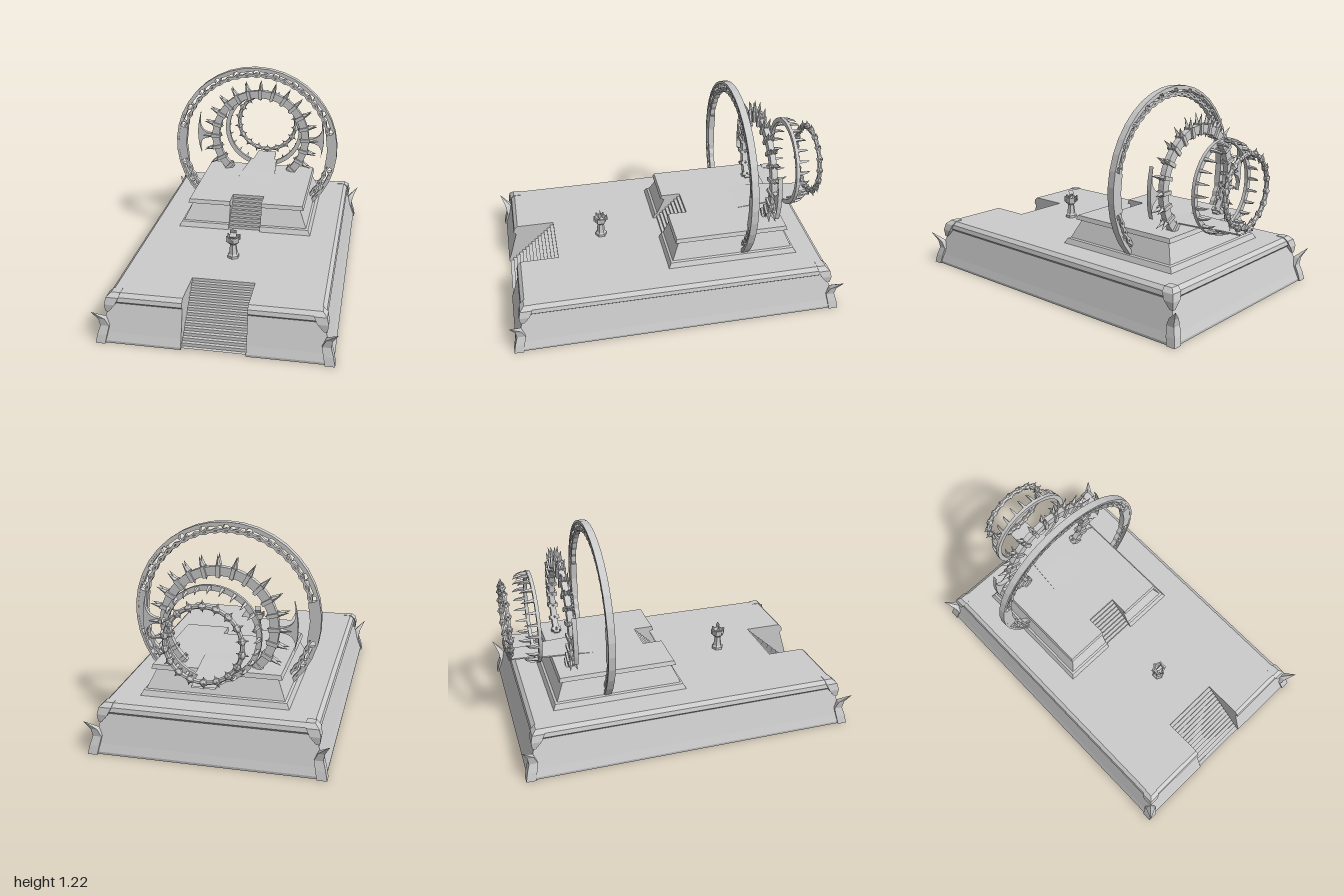
import * as THREE from 'three';
import { ConvexGeometry } from 'three/addons/geometries/ConvexGeometry.js';

const mat = new THREE.MeshStandardMaterial({ color: 0xcccccc, flatShading: true, side: THREE.DoubleSide });
const rad = THREE.MathUtils.degToRad;

function add(parent, name, geo, x = 0, y = 0, z = 0) {
  const m = new THREE.Mesh(geo, mat);
  m.name = name;
  m.position.set(x, y, z);
  parent.add(m);
  return m;
}

function group(parent, name, x = 0, y = 0, z = 0) {
  const g = new THREE.Group();
  g.name = name;
  g.position.set(x, y, z);
  parent.add(g);
  return g;
}

// Flat-faced sheet joining successive rows of [x, y, z] points
function loft(rows) {
  const pos = [];
  for (let j = 0; j + 1 < rows.length; j++)
    for (let i = 0; i + 1 < rows[j].length; i++) {
      const [a, b, c, d] = [rows[j][i], rows[j][i + 1], rows[j + 1][i + 1], rows[j + 1][i]];
      pos.push(...a, ...b, ...c, ...a, ...c, ...d);
    }
  const g = new THREE.BufferGeometry();
  g.setAttribute('position', new THREE.Float32BufferAttribute(pos, 3));
  g.computeVertexNormals();
  return g;
}

// Hollow rectangular platform with a stair notch; profile is [y, half width]
function platform(parent, name, { profile, deep, zc, s, zIn, yLow, steps, hole }) {
  const g = group(parent, name);
  const plan = (o) => {
    const f = zc + o + deep, b = zc - o - deep;
    return [[s, zIn], [s, f], [o, f], [o, b], [-o, b], [-o, f], [-s, f], [-s, zIn]];
  };
  add(g, 'walls', loft(profile.map(([y, o]) => plan(o).map(([x, z]) => [x, y, z]))));
  // Deck, open below anything hollow standing on it
  const [yTop, oTop] = profile[profile.length - 1];
  const deck = new THREE.Shape(plan(oTop).map(([x, z]) => new THREE.Vector2(x, -z)));
  if (hole) deck.holes.push(new THREE.Path(hole.map(([x, z]) => new THREE.Vector2(x, -z))));
  add(g, 'deck', new THREE.ShapeGeometry(deck).rotateX(-Math.PI / 2), 0, yTop, 0);
  // Stairs as a folded sheet
  const zOut = zc + profile[0][1] + deep - 0.005;
  const rows = [];
  for (let i = 0; i <= steps; i++) {
    const z = zIn + (zOut - zIn) * i / steps;
    const y = yTop + (yLow - yTop) * i / steps;
    rows.push([[-s, y, z], [s, y, z]]);
    if (i < steps) {
      const yn = yTop + (yLow - yTop) * (i + 1) / steps;
      rows.push([[-s, yn, z], [s, yn, z]]);
    }
  }
  add(g, 'stairs', loft(rows));
  return g;
}

// Extruded arc in the xy plane, angles in degrees, radii given per step
function arc(a0, a1, n, rIn, rOut, depth) {
  const f = (r, i) => (typeof r === 'function' ? r(i) : r);
  const pts = [];
  const put = (r, i) => {
    const a = rad(a0 + (a1 - a0) * i / n);
    pts.push(new THREE.Vector2(Math.cos(a) * r, Math.sin(a) * r));
  };
  for (let i = 0; i <= n; i++) put(f(rOut, i), i);
  for (let i = n; i >= 0; i--) put(f(rIn, i), i);
  return new THREE.ExtrudeGeometry(new THREE.Shape(pts), { depth, bevelEnabled: false }).translate(0, 0, -depth / 2);
}

// Repeats a part around a ring; local +x points outward
function around(parent, name, a0, a1, step, build) {
  for (let a = a0; a <= a1 + 0.01; a += step) {
    const g = group(parent, name);
    g.rotation.z = rad(a);
    build(g, a);
  }
}

// Four-sided spike from radius r0 to r1 along x
function spike(r0, r1, width) {
  const h = Math.abs(r1 - r0);
  return new THREE.ConeGeometry(width / 2, h, 4).rotateZ(r1 > r0 ? -Math.PI / 2 : Math.PI / 2).translate((r0 + r1) / 2, 0, 0);
}

function corners(parent) {
  // Flared horns and cap stones on the four base corners
  const levels = [[0, 0.66, 0.055], [0.05, 0.65, 0.055], [0.1, 0.635, 0.05], [0.145, 0.642, 0.036], [0.2, 0.67, 0.002]];
  const horn = loft(levels.map(([y, o, w]) => {
    const x = o, z = o + 0.328;
    return [[x, y, z], [x - w, y, z], [x - w, y, z - w], [x, y, z - w], [x, y, z]];
  }));
  const pts = [];
  for (const [y, o, w] of [[0.283, 0.58, 0.05], [0.26, 0.605, 0.07], [0.22, 0.615, 0.06], [0.175, 0.61, 0.02]])
    for (const [dx, dz] of [[0, 0], [w, 0], [0, w], [w, w]])
      pts.push(new THREE.Vector3(o - dx, y, o + 0.325 - dz));
  const cap = new ConvexGeometry(pts);
  for (const sx of [1, -1]) for (const sz of [1, -1]) {
    const g = group(parent, 'corner');
    add(g, 'cornerHorn', horn);
    add(g, 'cornerCap', cap);
    g.scale.set(sx, 1, sz);
  }
}

function brazier(parent) {
  const g = group(parent, 'brazier', 0, 0.28, 0.38);
  const profile = [[0.036, 0], [0.036, 0.015], [0.027, 0.025], [0.02, 0.085], [0.036, 0.1], [0.042, 0.135], [0.032, 0.135], [0.025, 0.115], [0, 0.115]];
  add(g, 'bowlStand', new THREE.LatheGeometry(profile.map(([x, y]) => new THREE.Vector2(x, y)), 6));
  for (let i = 0; i < 6; i++) {
    const a = i * Math.PI / 3;
    add(g, 'rimPost', new THREE.BoxGeometry(0.009, 0.035, 0.009), Math.sin(a) * 0.039, 0.125, Math.cos(a) * 0.039);
  }
  const curl = [[0.11, 0], [0.135, 0.012], [0.155, -0.006], [0.18, 0.004]];
  add(g, 'flame', loft(curl.map(([y, z]) => [[-0.02, y, z], [0.02, y, z]])));
}

function outerRing(parent) {
  const g = group(parent, 'outerRing', 0, 0.68, -0.45);
  const a0 = -43, a1 = 223;
  add(g, 'rim', arc(a0, a1, 28, 0.526, 0.54, 0.042));
  // Tracery of two opposed waves
  for (const k of [0, 1]) {
    const r = (i) => ((i + k) % 2 ? 0.474 : 0.493);
    add(g, 'tracery', arc(a0, a1, 36, r, (i) => r(i) + 0.012, 0.03));
  }
  // Rim blocks with wedge-shaped gaps
  around(g, 'rimBlock', -37.5, 217.5, 15, (p) => {
    const s = new THREE.Shape([[0.5, -0.045], [0.532, -0.062], [0.532, 0.062], [0.5, 0.045], [0.514, 0.04], [0.514, -0.04]].map(([x, y]) => new THREE.Vector2(x, y)));
    add(p, 'block', new THREE.ExtrudeGeometry(s, { depth: 0.036, bevelEnabled: false }), 0, 0, -0.018);
  });
  for (const a of [0, 180]) add(g, 'sidePanel', arc(a - 13, a + 13, 2, 0.475, 0.532, 0.038));
}

function spikedRing(parent) {
  const g = group(parent, 'spikedRing', 0, 0.68, -0.63);
  add(g, 'body', arc(-50, 230, 38, 0.285, 0.335, 0.034));
  around(g, 'spikeUnit', -45, 225, 15, (p) => {
    add(p, 'collar', new THREE.BoxGeometry(0.064, 0.022, 0.058), 0.31, 0, 0);
    add(p, 'innerTooth', spike(0.285, 0.262, 0.024));
    for (const s of [1, -1]) {
      const m = add(p, 'spike', spike(0, 0.078, 0.036), 0.326, 0, s * 0.008);
      m.rotation.y = -s * 0.17;
    }
  });
  // Crescent blades on both sides
  const c = new THREE.Shape();
  c.moveTo(0.33, 0.014);
  c.quadraticCurveTo(0.41, 0.012, 0.422, 0.08);
  c.quadraticCurveTo(0.425, 0.12, 0.415, 0.165);
  c.quadraticCurveTo(0.46, 0, 0.415, -0.125);
  c.quadraticCurveTo(0.425, -0.1, 0.422, -0.07);
  c.quadraticCurveTo(0.41, -0.012, 0.33, -0.014);
  const blade = new THREE.ExtrudeGeometry(c, { depth: 0.026, bevelEnabled: false, curveSegments: 5 }).translate(0, 0, -0.013);
  for (const s of [1, -1]) add(g, 'crescent', blade).scale.x = s;
}

function combRing(parent) {
  const g = group(parent, 'combRing', 0, 0.685, -0.8);
  add(g, 'band', arc(0, 360, 36, 0.246, 0.275, 0.02));
  // Curved tines pointing backward
  const rows = [[0, 0.272, 0.018], [-0.04, 0.27, 0.014], [-0.065, 0.262, 0.009], [-0.082, 0.245, 0.001]].map(([z, r, w]) =>
    [[r, w / 2, z], [r - w, w / 2, z], [r - w, -w / 2, z], [r, -w / 2, z], [r, w / 2, z]]);
  const tine = loft(rows);
  around(g, 'tine', 0, 345, 15, (p) => add(p, 'tine', tine));
}

function beadRing(parent) {
  const g = group(parent, 'beadRing', 0, 0.685, -0.96);
  add(g, 'hoop', new THREE.TorusGeometry(0.207, 0.013, 6, 36));
  around(g, 'bead', 10, 350, 20, (p) => {
    add(p, 'collar', new THREE.CylinderGeometry(0.021, 0.021, 0.012, 6), 0.207, 0, 0);
    for (const s of [1, -1])
      add(p, 'bell', new THREE.CylinderGeometry(s > 0 ? 0.012 : 0.019, s > 0 ? 0.019 : 0.012, 0.014, 6), 0.207, s * 0.013, 0);
    add(p, 'outerSpike', spike(0.222, 0.246, 0.016));
    add(p, 'innerSpike', spike(0.2, 0.172, 0.018));
  });
}

export function createModel() {
  const model = new THREE.Group();
  model.name = 'ringTemple';
  platform(model, 'base', {
    profile: [[0, 0.65], [0.015, 0.652], [0.06, 0.636], [0.22, 0.588], [0.235, 0.603], [0.26, 0.597], [0.28, 0.575]],
    deep: 0.325, zc: 0, s: 0.18, zIn: 0.67, yLow: 0.01, steps: 14,
    hole: [[-0.405, 0.005], [0.405, 0.005], [0.405, -0.76], [-0.405, -0.76]],
  });
  corners(model);
  platform(model, 'upperPlatform', {
    profile: [[0.28, 0.42], [0.31, 0.405], [0.315, 0.392], [0.42, 0.345], [0.425, 0.37], [0.45, 0.362]],
    deep: -0.02, zc: -0.375, s: 0.1, zIn: -0.15, yLow: 0.28, steps: 9,
  });
  // Thin walkway running through the rings
  const walk = [[-0.47, 0.12, 0.451], [-0.6, 0.11, 0.456], [-0.81, 0.09, 0.456], [-0.815, 0.075, 0.456], [-0.97, 0.065, 0.456]];
  add(model, 'walkway', loft(walk.map(([z, w, y]) =>
    [[-w, y, z], [w, y, z], [w, y - 0.008, z], [-w, y - 0.008, z], [-w, y, z]])));
  brazier(model);
  outerRing(model);
  spikedRing(model);
  combRing(model);
  beadRing(model);
  return model;
}
